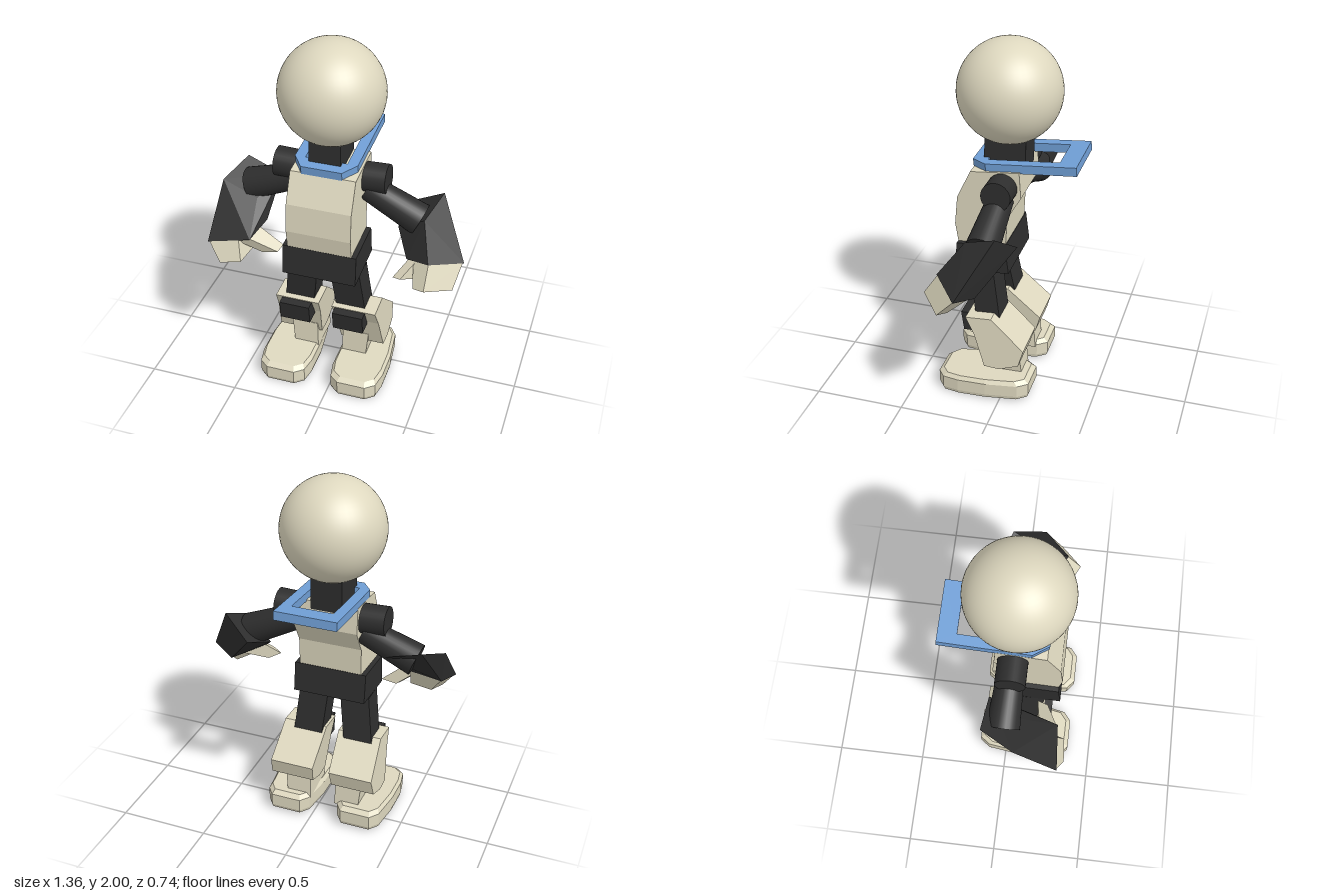
import * as THREE from 'three';
import { ConvexGeometry } from 'three/addons/geometries/ConvexGeometry.js';

const mat = (color, flatShading = true) => new THREE.MeshStandardMaterial({ color, flatShading });
const cream = mat(0xded8bf), creamSmooth = mat(0xded8bf, false);
const dark = mat(0x2e2e2e), darkSmooth = mat(0x2e2e2e, false), blue = mat(0x709fd6);
const V = (x, y, z) => new THREE.Vector3(x, y, z);

function add(parent, name, geometry, material) {
  const m = new THREE.Mesh(geometry, material);
  m.name = name;
  parent.add(m);
  return m;
}

function group(parent, name) {
  const g = new THREE.Group();
  g.name = name;
  parent.add(g);
  return g;
}

// Four corners around a centre, spanned by two half-axes
const quad = (c, u, v, ku = 1, kv = 1) => [[1, 1], [1, -1], [-1, 1], [-1, -1]]
  .map(([a, b]) => c.clone().addScaledVector(u, a * ku).addScaledVector(v, b * kv));

// Tapered block joining two quads
const block = (a, b) => new ConvexGeometry([...a, ...b]);

// Horizontal quad of half-width w and half-depth d
const level = (x, y, z, w, d) => quad(V(x, y, z), V(w, 0, 0), V(0, 0, d));

// Side profile given as [z, y], extruded from x0 to x1
function sideProfile(pts, x0, x1) {
  const shape = new THREE.Shape(pts.map(([z, y]) => new THREE.Vector2(-z, y)));
  return new THREE.ExtrudeGeometry(shape, { depth: x1 - x0, bevelEnabled: false })
    .rotateY(Math.PI / 2).translate(x0, 0, 0);
}

// Cylinder between two points
function rod(a, b, ra, rb) {
  const d = b.clone().sub(a), len = d.length();
  return new THREE.CylinderGeometry(rb, ra, len, 28)
    .translate(0, len / 2, 0)
    .applyQuaternion(new THREE.Quaternion().setFromUnitVectors(V(0, 1, 0), d.normalize()))
    .translate(a.x, a.y, a.z);
}

// Collar plate with a rectangular opening and chamfered front corners
function collarPlate() {
  const s = new THREE.Shape();
  s.moveTo(-0.17, 0.285).lineTo(0.17, 0.285).lineTo(0.17, -0.2)
    .lineTo(0.11, -0.285).lineTo(-0.11, -0.285).lineTo(-0.17, -0.2);
  const hole = new THREE.Path();
  hole.moveTo(-0.113, 0.185).lineTo(-0.113, -0.2).lineTo(0.113, -0.2).lineTo(0.113, 0.185);
  s.holes.push(hole);
  return new THREE.ExtrudeGeometry(s, { depth: 0.048, bevelEnabled: false })
    .rotateX(-Math.PI / 2).translate(0, -0.024, 0);
}

// Foot: long chamfered outline, narrower at the heel, with a bevelled top edge
function footBlock(cx) {
  const half = [[0.08, 0.37], [0.13, 0.33], [0.147, 0.24], [0.147, 0.08], [0.125, -0.1], [0.085, -0.155]];
  const layer = (y, k) => half.flatMap(([x, z]) => [1, -1].map((s) =>
    V(cx + s * x * k, y + 0.03 * (0.37 - z), 0.107 + (z - 0.107) * k)));
  return new ConvexGeometry([...layer(0, 0.97), ...layer(0.02, 1), ...layer(0.09, 1), ...layer(0.112, 0.9)]);
}

// Arm: u points to the outer side and v to the front, at the elbow and at the wrist
function buildArm(parent, name, p) {
  const arm = group(parent, name);
  add(arm, 'shoulder', rod(V(p.shoulderX[0], 1.25, 0.025), V(p.shoulderX[1], 1.255, 0.025), 0.08, 0.08), darkSmooth);
  add(arm, 'upperArm', rod(p.armTop, p.armEnd, 0.07, 0.088), darkSmooth);
  add(arm, 'forearm', block(quad(p.elbow, p.elbowU, p.elbowV), quad(p.wrist, p.wristU, p.wristV)), dark);
  const palm = p.wrist.clone().addScaledVector(p.wristU, 0.25);
  add(arm, 'hand', block(quad(palm, p.wristU, p.wristV, 0.7, 0.95), quad(p.handTip, p.wristU, p.wristV, 0.5, 0.8)), cream);
  const thumbRoot = p.wrist.clone().addScaledVector(p.wristU, -0.6).addScaledVector(p.wristV, 0.3);
  add(arm, 'thumb', block(quad(thumbRoot, p.wristU, p.wristV, 0.36, 0.6), quad(p.thumbTip, p.wristU, p.wristV, 0.35, 0.35)), cream);
}

// Leg: s is the side, the rest are the x centres of its parts
function buildLeg(parent, name, s, hipX, kneeX, shinX, footX) {
  const leg = group(parent, name);
  add(leg, 'thigh', block(level(hipX, 0.73, 0.138, 0.083, 0.068), level(kneeX, 0.42, 0.092, 0.083, 0.068)), dark);
  add(leg, 'kneePad', sideProfile([[0.25, 0.475], [0.235, 0.362], [0.15, 0.365], [0.14, 0.48]], kneeX - 0.086, kneeX + 0.086), dark);
  const shin = sideProfile([[0.205, 0.485], [0.06, 0.495], [-0.127, 0.325], [-0.1, 0.23], [0.01, 0.19],
    [0.095, 0.195], [0.155, 0.385]], shinX - 0.125, shinX + 0.125);
  // Lean the guard outward towards its lower end
  shin.applyMatrix4(new THREE.Matrix4().makeShear(0, 0, -s * 0.07, 0, 0, 0).setPosition(s * 0.025, 0, 0));
  add(leg, 'shinGuard', shin, cream);
  add(leg, 'ankle', block(level(shinX - s * 0.02, 0.26, 0.018, 0.075, 0.1), level(shinX - s * 0.03, 0.1, 0.015, 0.07, 0.11)), cream);
  add(leg, 'foot', footBlock(footX), cream);
}

export function createModel() {
  const g = new THREE.Group();
  g.name = 'figure';

  // Head, neck and collar
  add(g, 'head', new THREE.SphereGeometry(0.278, 48, 32), creamSmooth).position.set(-0.063, 1.722, 0.036);
  add(g, 'neck', block(level(-0.066, 1.3, 0.043, 0.086, 0.112), level(-0.066, 1.5, 0.038, 0.086, 0.112)), dark);
  const collar = add(g, 'collar', collarPlate(), blue);
  collar.position.set(-0.067, 1.362, -0.079);
  collar.rotation.x = 0.09;

  // Torso and hips
  add(g, 'torso', sideProfile([[0.2, 1.32], [0.275, 1.16], [0.29, 1.0], [0.27, 0.87], [0.01, 0.87],
    [0, 1.07], [-0.075, 1.2], [-0.065, 1.345]], -0.238, 0.116), cream);
  add(g, 'hips', sideProfile([[0.275, 0.895], [0.29, 0.725], [-0.015, 0.75], [0.005, 0.915]], -0.265, 0.143), dark);

  // Arms, posed differently on each side
  buildArm(g, 'leftArm', {
    shoulderX: [0.1, 0.24], armTop: V(0.13, 1.19, 0.03), armEnd: V(0.42, 1.05, 0.04),
    elbow: V(0.412, 1.08, -0.007), elbowU: V(0.078, 0.057, 0.035), elbowV: V(-0.03, -0.037, 0.088),
    wrist: V(0.534, 0.88, 0.145), wristU: V(0.066, 0.02, 0.035), wristV: V(-0.08, 0.025, 0.07),
    handTip: V(0.55, 0.775, 0.25), thumbTip: V(0.385, 0.8, 0.235),
  });
  buildArm(g, 'rightArm', {
    shoulderX: [-0.22, -0.375], armTop: V(-0.25, 1.18, 0.02), armEnd: V(-0.54, 1.07, 0.01),
    elbow: V(-0.535, 1.104, -0.003), elbowU: V(-0.1, 0.035, -0.01), elbowV: V(-0.04, -0.034, 0.087),
    wrist: V(-0.545, 0.89, 0.22), wristU: V(-0.118, -0.024, 0.01), wristV: V(-0.02, -0.018, 0.08),
    handTip: V(-0.53, 0.775, 0.275), thumbTip: V(-0.35, 0.8, 0.2),
  });

  // Legs
  buildLeg(g, 'leftLeg', 1, 0.057, 0.085, 0.115, 0.145);
  buildLeg(g, 'rightLeg', -1, -0.18, -0.222, -0.228, -0.272);
  return g;
}
